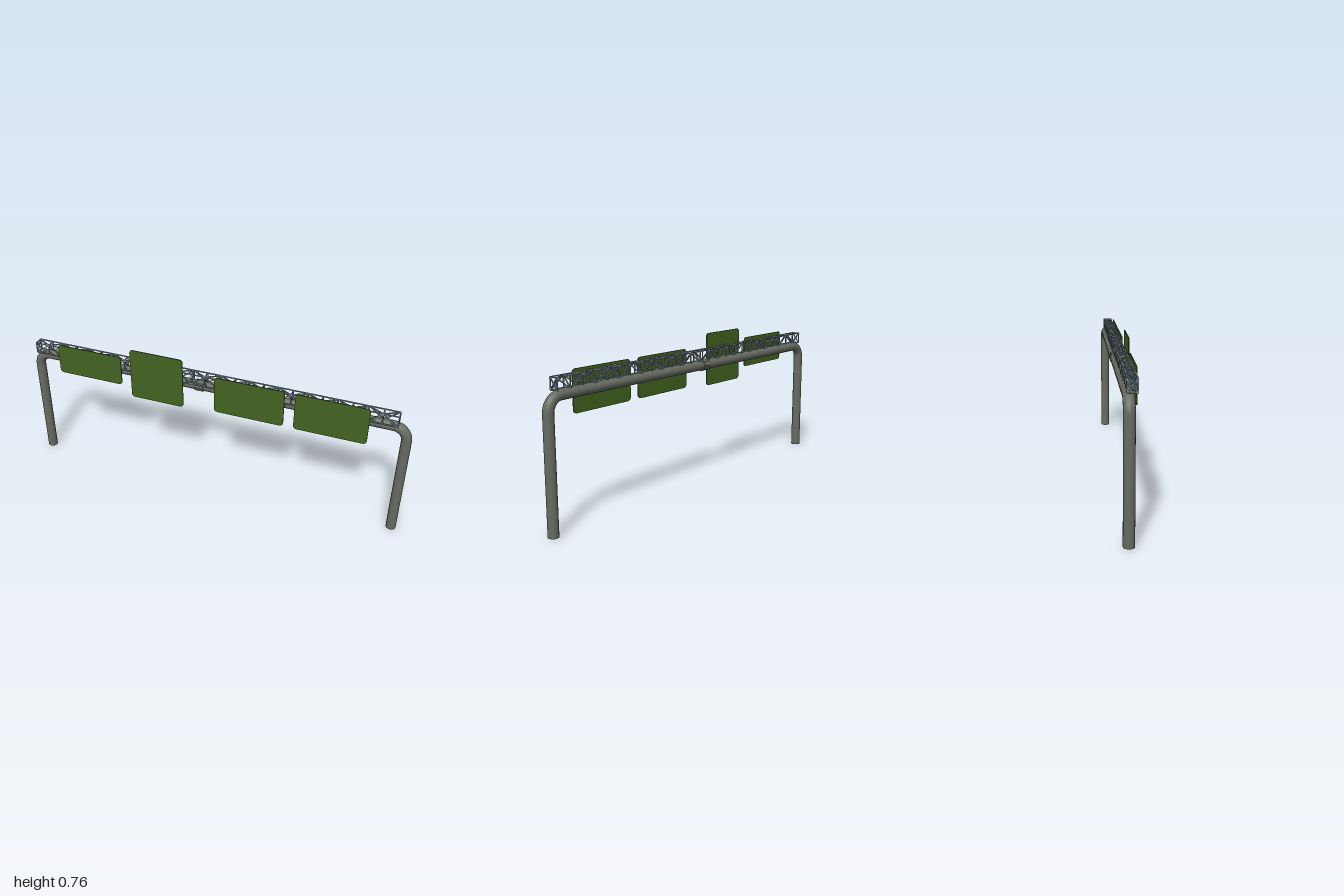
import * as THREE from 'three';
import { mergeGeometries } from 'three/addons/utils/BufferGeometryUtils.js';

const poleMat = new THREE.MeshStandardMaterial({ color: 0x666b60 });
const trussMat = new THREE.MeshStandardMaterial({ color: 0x82959c });
const signMat = new THREE.MeshStandardMaterial({ color: 0x426321 });

const V = (x, y, z) => new THREE.Vector3(x, y, z);

function add(parent, name, geometry, material) {
  const mesh = new THREE.Mesh(geometry, material);
  mesh.name = name;
  parent.add(mesh);
  return mesh;
}

// Square bar running from a to b
function bar(a, b, t) {
  const g = new THREE.BoxGeometry(t, t, a.distanceTo(b));
  const m = new THREE.Matrix4().lookAt(b, a, Math.abs(b.y - a.y) > 0.04 ? V(1, 0, 0.01) : V(0, 1, 0));
  m.setPosition(a.clone().add(b).multiplyScalar(0.5));
  return g.applyMatrix4(m);
}

// Flat panel with rounded corners
function panel(w, h, r, depth) {
  const s = new THREE.Shape();
  const x = w / 2, y = h / 2;
  s.moveTo(-x + r, -y);
  s.lineTo(x - r, -y);
  s.absarc(x - r, -y + r, r, -Math.PI / 2, 0);
  s.absarc(x - r, y - r, r, 0, Math.PI / 2);
  s.absarc(-x + r, y - r, r, Math.PI / 2, Math.PI);
  s.absarc(-x + r, -y + r, r, Math.PI, Math.PI * 1.5);
  return new THREE.ExtrudeGeometry(s, { depth, bevelEnabled: false, curveSegments: 6 });
}

export function createModel() {
  const model = new THREE.Group();
  model.name = 'signGantry';

  // Bent pipe frame: two legs and a crossbeam
  const X = 0.975, Y = 0.612, Z = -0.006, R = 0.025, bend = 0.07;
  const path = new THREE.CurvePath();
  const arc = (sx) => {
    const pts = [];
    for (let i = 0; i <= 10; i++) {
      const a = (i / 10) * Math.PI / 2;
      pts.push(V(sx * (X - bend + bend * Math.cos(a)), Y - bend + bend * Math.sin(a), Z));
    }
    return pts;
  };
  const points = [V(-X, 0, Z), ...arc(-1), ...arc(1).reverse(), V(X, 0, Z)];
  for (let i = 1; i < points.length; i++) path.add(new THREE.LineCurve3(points[i - 1], points[i]));
  add(model, 'pipeFrame', new THREE.TubeGeometry(path, 300, R, 20), poleMat);
  for (const s of [-1, 1]) {
    const foot = add(model, s > 0 ? 'leftFoot' : 'rightFoot', new THREE.CircleGeometry(R, 20), poleMat);
    foot.rotation.x = Math.PI / 2;
    foot.position.set(s * X, 0, Z);
  }

  // Faceted collar joining the two beam halves
  const collarGeo = new THREE.CylinderGeometry(0.03, 0.03, 0.045, 8).toNonIndexed();
  collarGeo.computeVertexNormals();
  const collar = add(model, 'beamCollar', collarGeo, poleMat);
  collar.rotation.z = Math.PI / 2;
  collar.position.set(-0.055, Y, Z);

  // Box truss lying on the beam
  const x0 = -0.963, x1 = 0.928, y0 = 0.63, y1 = 0.686, zb = -0.014, zf = 0.028;
  const bays = 26, step = (x1 - x0) / bays, chord = 0.005, thin = 0.005;
  const chords = [], posts = [], braces = [];
  for (const y of [y0, y1]) for (const z of [zb, zf]) chords.push(bar(V(x0, y, z), V(x1, y, z), chord));
  for (let i = 0; i <= bays; i++) {
    const x = x0 + i * step;
    for (const z of [zb, zf]) posts.push(bar(V(x, y0, z), V(x, y1, z), thin));
    for (const y of [y0, y1]) posts.push(bar(V(x, y, zb), V(x, y, zf), thin));
    // Cross-section diagonals alternate; both are present at the ends
    const ends = i === 0 || i === bays;
    if (ends || i % 2) braces.push(bar(V(x, y0, zb), V(x, y1, zf), thin));
    if (ends || i % 2 === 0) braces.push(bar(V(x, y1, zb), V(x, y0, zf), thin));
    if (i === bays) break;
    // Zigzag bracing, opposed on opposite faces
    const up = i % 2 === 0, n = x + step;
    braces.push(bar(V(x, up ? y0 : y1, zf), V(n, up ? y1 : y0, zf), thin));
    braces.push(bar(V(x, up ? y1 : y0, zb), V(n, up ? y0 : y1, zb), thin));
    braces.push(bar(V(x, y1, up ? zb : zf), V(n, y1, up ? zf : zb), thin));
    braces.push(bar(V(x, y0, up ? zf : zb), V(n, y0, up ? zb : zf), thin));
  }
  const truss = new THREE.Group();
  truss.name = 'truss';
  add(truss, 'chords', mergeGeometries(chords), trussMat);
  add(truss, 'posts', mergeGeometries(posts), trussMat);
  add(truss, 'braces', mergeGeometries(braces), trussMat);
  model.add(truss);

  // Sign panels: left edge, right edge, bottom, top
  const signs = [
    [-0.828, -0.47, 0.545, 0.706],
    [-0.417, -0.132, 0.487, 0.762],
    [0.034, 0.391, 0.503, 0.701],
    [0.442, 0.8, 0.503, 0.701],
  ];
  signs.forEach(([a, b, lo, hi], i) => {
    const sign = add(model, `signPanel${i + 1}`, panel(b - a, hi - lo, 0.018, 0.005), signMat);
    sign.position.set((a + b) / 2, (lo + hi) / 2, 0.033);
  });

  return model;
}
